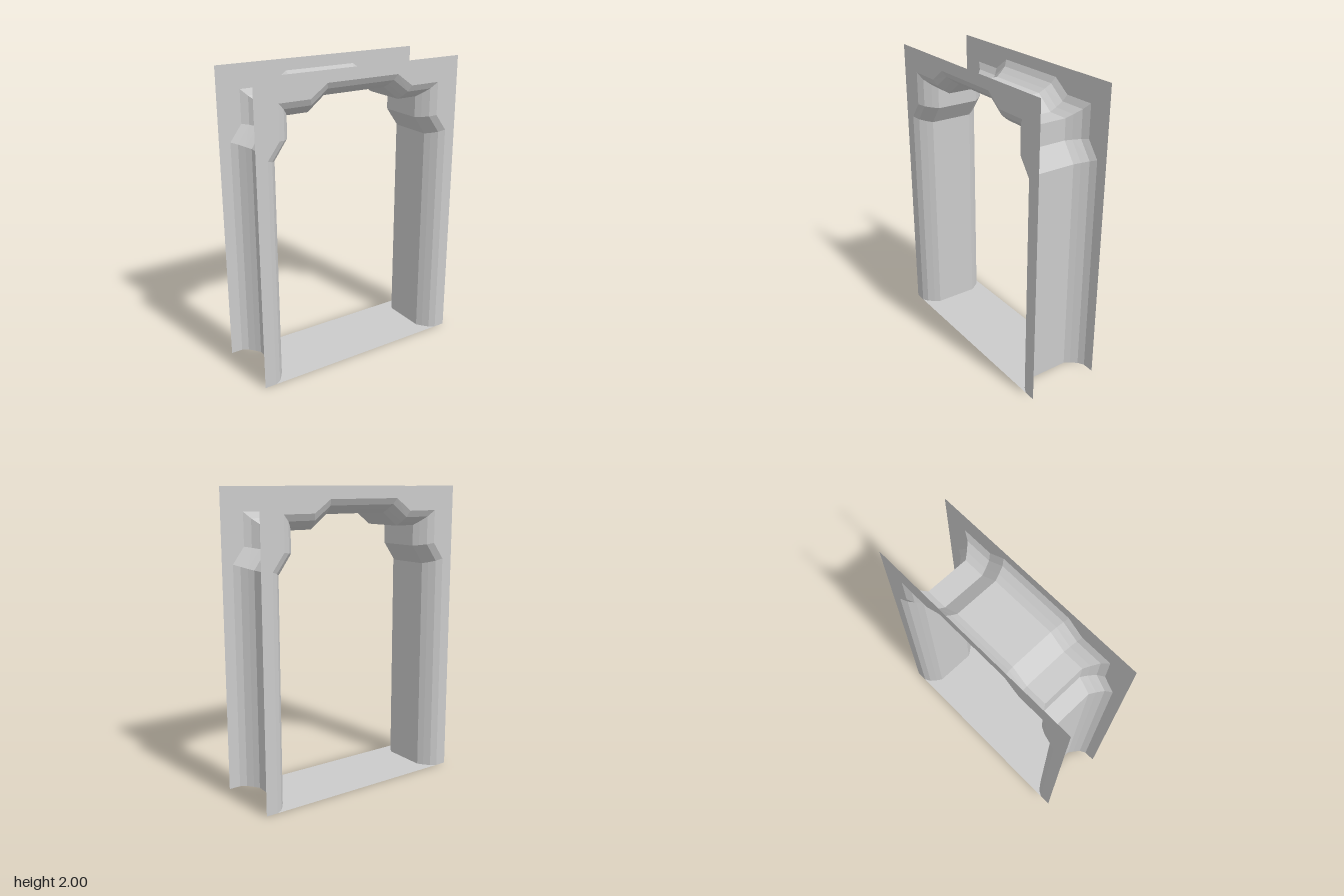
import * as THREE from 'three';

const material = new THREE.MeshStandardMaterial({ color: 0xcccccc, flatShading: true, side: THREE.DoubleSide });

// Half outlines of the opening, from the floor up: narrow throat and wide mouth
const throat = [[0.575, 0], [0.575, 1.475], [0.485, 1.6], [0.485, 1.74], [0.34, 1.74], [0.225, 1.83]];
const mouth = [[0.672, 0], [0.672, 1.51], [0.59, 1.62], [0.59, 1.84], [0.375, 1.84], [0.26, 1.923]];

// Concave moulding: [z, spread], where spread 0 is the throat and 1 the mouth
const halfProfile = [[0.25, 1], [0.227, 0.58], [0.187, 0.25], [0.15, 0]];
const profile = [...halfProfile, ...halfProfile.map(([z, s]) => [-z, s]).reverse()];

const mirrored = (half) => [...half, ...half.map(([x, y]) => [-x, y]).reverse()];

// Opening outline at a given spread
function outline(spread) {
  return mirrored(throat.map(([x, y], i) => [
    x + (mouth[i][0] - x) * spread,
    y + (mouth[i][1] - y) * spread,
  ]));
}

function addMesh(group, name, geometry) {
  const mesh = new THREE.Mesh(geometry, material);
  mesh.name = name;
  group.add(mesh);
  return mesh;
}

function shapeFrom(points) {
  return new THREE.Shape(points.map(([x, y]) => new THREE.Vector2(x, y)));
}

// Lining lofted through the outlines from front to back
function liningGeometry() {
  const positions = [];
  const index = [];
  const count = throat.length * 2;
  profile.forEach(([z, spread], row) => {
    for (const [x, y] of outline(spread)) positions.push(x, y, z);
    if (row === 0) return;
    for (let i = 0; i < count - 1; i++) {
      const a = (row - 1) * count + i;
      const b = row * count + i;
      index.push(a, b, a + 1, b, b + 1, a + 1);
    }
  });
  const indexed = new THREE.BufferGeometry();
  indexed.setAttribute('position', new THREE.Float32BufferAttribute(positions, 3));
  indexed.setIndex(index);
  const geometry = indexed.toNonIndexed();
  geometry.computeVertexNormals();
  return geometry;
}

export function createModel() {
  const group = new THREE.Group();
  group.name = 'archway';

  // Thin front and back faces around the opening
  const face = shapeFrom([[0.75, 0], [0.75, 2], [-0.75, 2], [-0.75, 0], ...outline(1).reverse()]);
  const faceGeometry = new THREE.ShapeGeometry(face);
  addMesh(group, 'frontFace', faceGeometry).position.z = 0.25;
  const back = addMesh(group, 'backFace', faceGeometry);
  back.position.z = -0.25;
  back.rotation.y = Math.PI;

  // Moulded passage through the arch
  addMesh(group, 'archLining', liningGeometry());

  // Threshold that follows the moulding at both ends
  const side = profile.map(([z, s]) => [throat[0][0] + (mouth[0][0] - throat[0][0]) * s, z]);
  const threshold = new THREE.ShapeGeometry(shapeFrom(mirrored(side)));
  threshold.rotateX(-Math.PI / 2);
  addMesh(group, 'threshold', threshold);

  return group;
}
